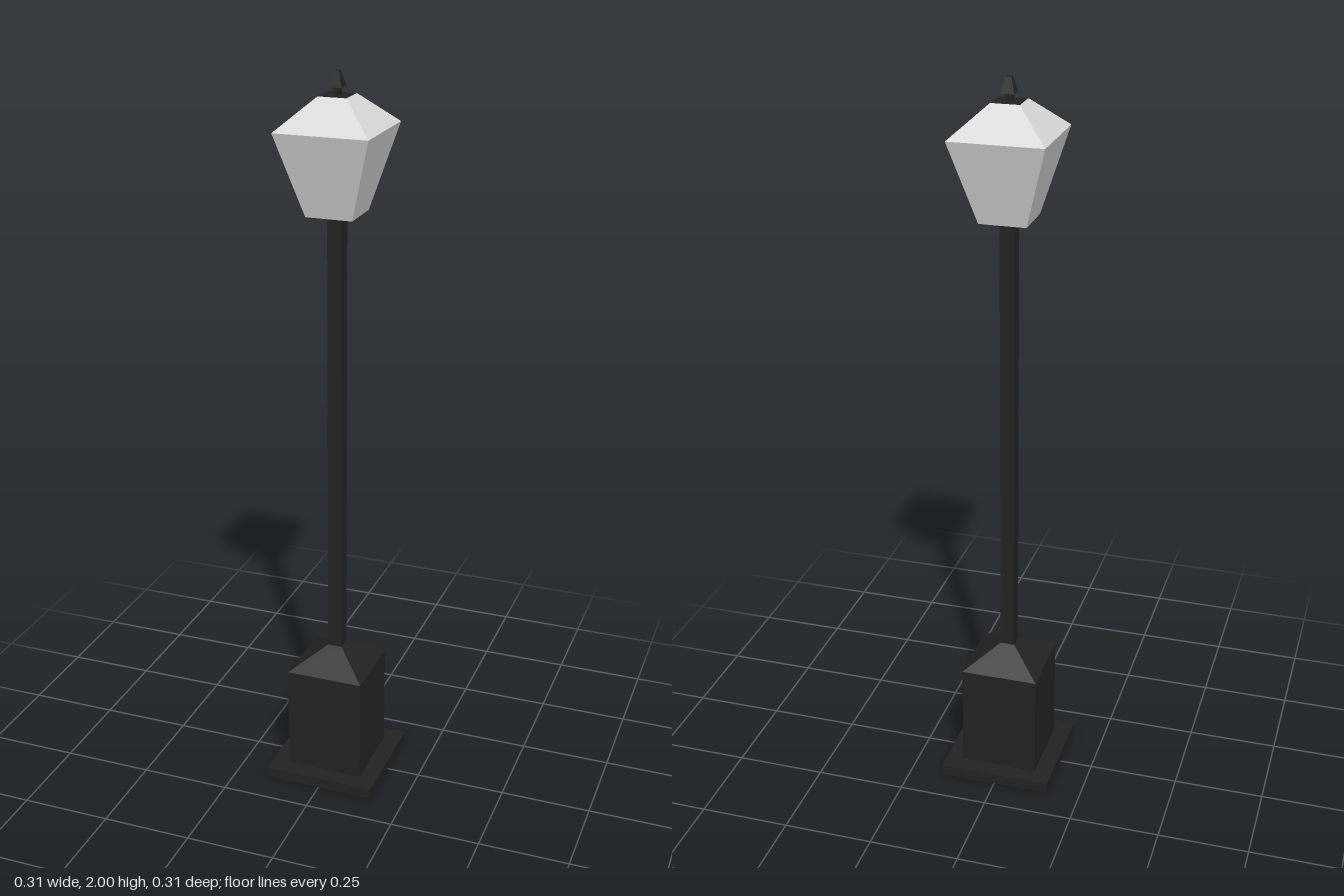
import * as THREE from 'three';

export function createModel() {
  const black = new THREE.MeshStandardMaterial({ color: 0x222222, flatShading: true });
  black.name = 'blackIron';
  const glass = new THREE.MeshStandardMaterial({ color: 0xd8d8d8, flatShading: true });
  glass.name = 'paleGlass';

  const group = new THREE.Group();
  group.name = 'streetLamp';

  // Square tapered block between two heights, given half-widths at bottom and top.
  // Materials go to the sides, the top and the bottom.
  function block(name, y0, y1, half0, half1, sides = black) {
    const geometry = new THREE.CylinderGeometry(half1 * Math.SQRT2, half0 * Math.SQRT2, y1 - y0, 4);
    geometry.rotateY(Math.PI / 4);
    geometry.translate(0, (y0 + y1) / 2, 0);
    const mesh = new THREE.Mesh(geometry, [sides, black, black]);
    mesh.name = name;
    group.add(mesh);
  }

  // Pedestal
  block('basePlate', 0, 0.03, 0.157, 0.157);
  block('pedestal', 0.03, 0.33, 0.108, 0.108);
  block('pedestalShoulder', 0.33, 0.39, 0.108, 0.02);

  // Post
  block('post', 0.38, 1.64, 0.02, 0.02);

  // Lantern
  block('lanternPanes', 1.64, 1.86, 0.063, 0.126, glass);
  block('lanternRoof', 1.86, 1.94, 0.126, 0.038, glass);

  // Finial
  block('finialNeck', 1.94, 1.962, 0.009, 0.009);
  block('finialTip', 1.96, 2, 0.018, 0.007);

  return group;
}
